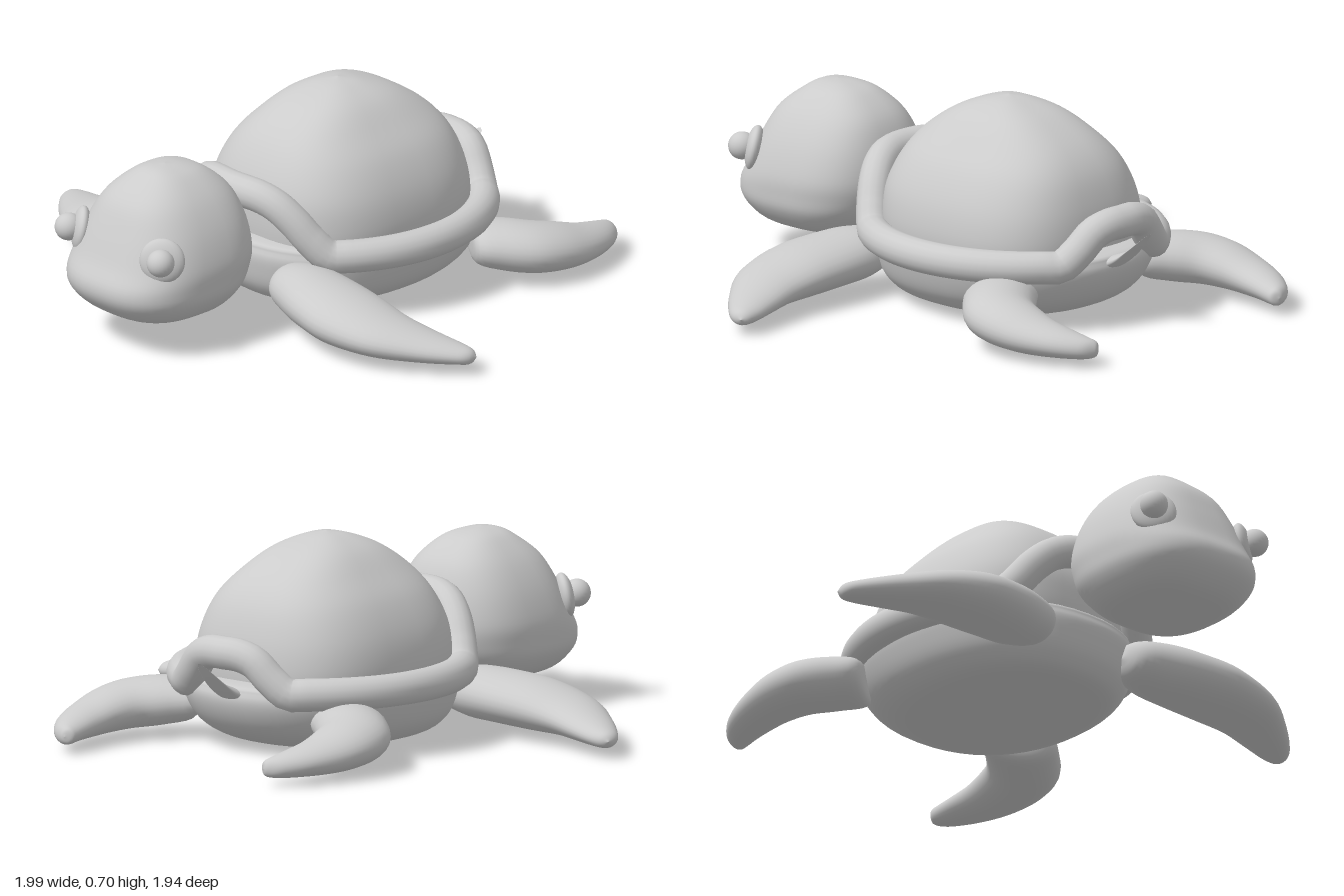
import * as THREE from 'three';

const material = new THREE.MeshStandardMaterial({ color: 0xcccccc, side: THREE.DoubleSide });
const v = (x, y, z) => new THREE.Vector3(x, y, z);

function addMesh(parent, name, geometry) {
  const mesh = new THREE.Mesh(geometry, material);
  mesh.name = name;
  parent.add(mesh);
  return mesh;
}

// Smooth closed form through sections { c: centre, u, w: half-axis vectors }; power < 1 squares the outline.
function loft(sections, power = 1, steps = 32, sides = 40) {
  const [C, U, W] = ['c', 'u', 'w'].map((k) => {
    const curve = new THREE.CatmullRomCurve3(sections.map((s) => s[k]), false, 'catmullrom', 0.5);
    return (t) => curve.getPoint(t);
  });
  const round = (n) => Math.sign(n) * Math.abs(n) ** power;
  const points = [];
  const index = [];
  for (let i = 0; i <= steps; i++) {
    const c = C(i / steps), u = U(i / steps), w = W(i / steps);
    for (let j = 0; j < sides; j++) {
      const a = (j / sides) * Math.PI * 2;
      const p = c.clone().addScaledVector(u, round(Math.cos(a))).addScaledVector(w, round(Math.sin(a)));
      points.push(p.x, p.y, p.z);
    }
  }
  // Face outward whichever way the sections run
  const m = sections[sections.length >> 1];
  const along = sections[sections.length - 1].c.clone().sub(sections[0].c);
  const flip = m.u.clone().cross(m.w).dot(along) < 0;
  for (let i = 0; i < steps; i++) {
    for (let j = 0; j < sides; j++) {
      const a = i * sides + j, b = i * sides + ((j + 1) % sides);
      const c = a + sides, d = b + sides;
      if (flip) index.push(a, c, b, b, c, d);
      else index.push(a, b, c, b, d, c);
    }
  }
  const geometry = new THREE.BufferGeometry();
  geometry.setAttribute('position', new THREE.Float32BufferAttribute(points, 3));
  geometry.setIndex(index);
  geometry.computeVertexNormals();
  return geometry;
}

// Horizontal slices: [y, half width, front z, back z]
const slices = (rows) => rows.map(([y, hx, zf, zb]) => ({
  c: v(0, y, (zf + zb) / 2), u: v(hx, 0, 0), w: v(0, 0, (zf - zb) / 2),
}));

// Flipper slices: [edge A x, z, edge B x, z, top y, bottom y]
const flipper = (rows, side) => loft(rows.map(([ax, az, bx, bz, top, low]) => ({
  c: v(side * (ax + bx) / 2, (top + low) / 2, (az + bz) / 2),
  u: v(side * (ax - bx) / 2, 0, (az - bz) / 2),
  w: v(0, (top - low) / 2, 0),
})), 1, 40, 28);

const DOME = [
  [0.2, 0.365, 0.255, -0.56], [0.3, 0.37, 0.26, -0.565], [0.4, 0.35, 0.25, -0.55],
  [0.5, 0.3, 0.205, -0.51], [0.58, 0.23, 0.14, -0.44], [0.65, 0.155, 0.04, -0.33],
  [0.69, 0.075, -0.06, -0.22], [0.705, 0, -0.14, -0.14],
];
const BELLY = [
  [0.005, 0, -0.13, -0.13], [0.008, 0.14, 0.05, -0.3], [0.025, 0.29, 0.22, -0.46],
  [0.075, 0.37, 0.285, -0.57], [0.15, 0.41, 0.31, -0.63], [0.22, 0.42, 0.31, -0.64],
  [0.25, 0.36, 0.25, -0.57], [0.255, 0, -0.15, -0.15],
];
const HEAD = [
  [0.1, 0, 0.68, 0.68], [0.105, 0.12, 0.8, 0.55], [0.13, 0.205, 0.89, 0.48],
  [0.19, 0.258, 0.955, 0.42], [0.25, 0.27, 0.967, 0.39], [0.32, 0.268, 0.93, 0.38],
  [0.42, 0.235, 0.885, 0.395], [0.51, 0.18, 0.835, 0.435], [0.575, 0.11, 0.755, 0.51],
  [0.6, 0.055, 0.71, 0.58], [0.608, 0, 0.65, 0.65],
];
const FRONT_FLIPPER = [
  [0.17, 0.27, 0.17, 0.27, 0.14, 0.14], [0.2, 0.36, 0.2, 0.2, 0.2, 0.08],
  [0.3, 0.41, 0.3, 0.16, 0.222, 0.05], [0.42, 0.447, 0.42, 0.155, 0.217, 0.04],
  [0.56, 0.465, 0.57, 0.162, 0.2, 0.032], [0.73, 0.425, 0.7, 0.168, 0.165, 0.033],
  [0.87, 0.325, 0.82, 0.15, 0.13, 0.034], [0.965, 0.235, 0.91, 0.134, 0.105, 0.037],
  [0.995, 0.19, 0.965, 0.134, 0.09, 0.042], [0.995, 0.15, 0.995, 0.15, 0.065, 0.065],
];
const REAR_FLIPPER = [
  [0.33, -0.43, 0.33, -0.43, 0.14, 0.14], [0.44, -0.37, 0.25, -0.5, 0.2, 0.07],
  [0.52, -0.42, 0.32, -0.57, 0.21, 0.045], [0.6, -0.51, 0.385, -0.635, 0.2, 0.035],
  [0.628, -0.62, 0.413, -0.71, 0.18, 0.03], [0.615, -0.74, 0.423, -0.79, 0.15, 0.028],
  [0.57, -0.86, 0.42, -0.87, 0.125, 0.03], [0.51, -0.94, 0.416, -0.925, 0.105, 0.032],
  [0.46, -0.967, 0.418, -0.95, 0.09, 0.04], [0.44, -0.968, 0.44, -0.968, 0.065, 0.065],
];

export function createModel() {
  const model = new THREE.Group();
  model.name = 'seaTurtle';

  // Body
  addMesh(model, 'shellDome', loft(slices(DOME), 0.72, 40, 56));
  addMesh(model, 'belly', loft(slices(BELLY), 0.9, 40, 48));

  // Shell rim, arched over the neck and the tail
  const rimPath = [];
  for (let i = 0; i < 48; i++) {
    const a = (i / 48) * Math.PI * 2;
    const k = Math.cos(a);
    const y = 0.235 + 0.2 * THREE.MathUtils.smoothstep(k, 0.68, 1)
      + 0.125 * THREE.MathUtils.smoothstep(-k, 0.87, 1);
    rimPath.push(v(0.442 * Math.sin(a), y, -0.16 + 0.495 * k));
  }
  addMesh(model, 'shellRim', new THREE.TubeGeometry(new THREE.CatmullRomCurve3(rimPath, true), 120, 0.056, 16, true));

  // Head
  addMesh(model, 'head', loft(slices(HEAD), 0.75, 44, 48));

  // Tail
  addMesh(model, 'tail', loft([
    [0.19, -0.56, 0.05], [0.23, -0.66, 0.05], [0.275, -0.72, 0.04], [0.325, -0.772, 0.018], [0.34, -0.785, 0],
  ].map(([y, z, r]) => ({ c: v(0, y, z), u: v(r, 0, 0), w: v(0, r * 0.75, -r * 0.65) })), 1, 20, 20));

  // Paired parts
  for (const side of [1, -1]) {
    const label = side > 0 ? 'left' : 'right';
    addMesh(model, label + 'FrontFlipper', flipper(FRONT_FLIPPER, side));
    addMesh(model, label + 'RearFlipper', flipper(REAR_FLIPPER, side));

    // Eye: rounded disc with a ball, looking outward
    const eye = new THREE.Group();
    eye.name = label + 'Eye';
    eye.position.set(side * 0.2, 0.367, 0.845);
    eye.quaternion.setFromUnitVectors(v(0, 0, 1), v(side * 0.62, 0.17, 0.76).normalize());
    addMesh(eye, 'eyeSocket', new THREE.SphereGeometry(0.077, 28, 18)).scale.z = 0.4;
    addMesh(eye, 'eyeball', new THREE.SphereGeometry(0.047, 24, 16)).position.z = 0.042;
    model.add(eye);
  }
  return model;
}
